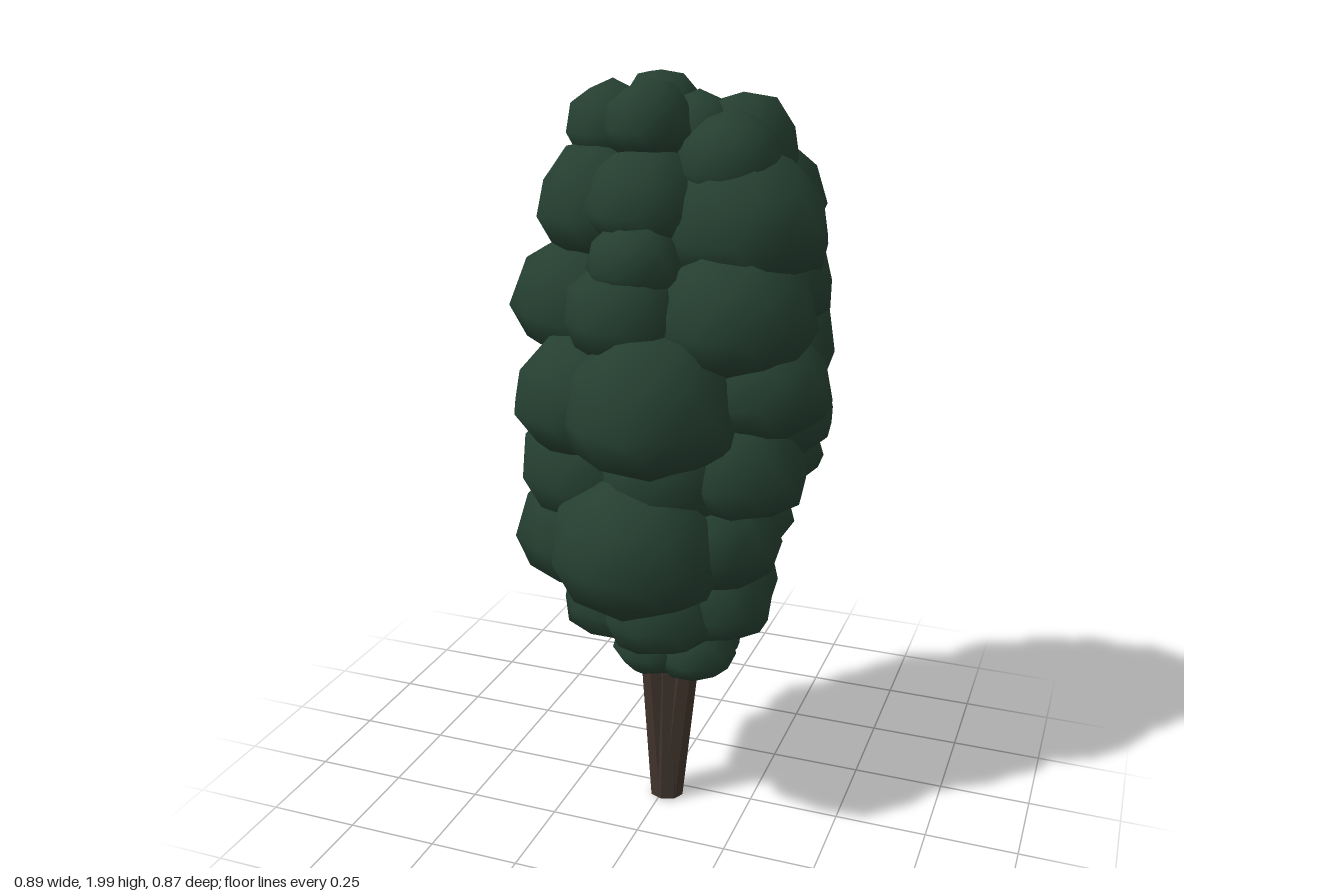
import * as THREE from 'three';
import { mergeVertices } from 'three/addons/utils/BufferGeometryUtils.js';

const leafMaterial = new THREE.MeshStandardMaterial({ color: 0x253f31, roughness: 1 });
const barkMaterial = new THREE.MeshStandardMaterial({ color: 0x40342c, roughness: 1, flatShading: true });

// Leaf clumps, bottom to top: each is [x, y, z, radius]
const tiers = {
  lowestTier: [[-0.02, 0.475, 0.06, 0.105], [0.1, 0.475, 0.06, 0.105], [-0.02, 0.48, -0.03, 0.105], [0.09, 0.48, -0.04, 0.105]],
  skirtTier: [[-0.1, 0.62, 0.08, 0.16], [0.03, 0.62, 0.13, 0.16], [0.15, 0.64, 0.05, 0.16],
    [-0.08, 0.64, -0.05, 0.17], [0.12, 0.65, -0.07, 0.17]],
  lowerTier: [[-0.01, 0.81, 0.2, 0.225], [-0.18, 0.8, 0.08, 0.2], [0.15, 0.82, 0.07, 0.18],
    [-0.14, 0.82, -0.09, 0.2], [0.11, 0.83, -0.12, 0.2], [0.02, 0.76, -0.09, 0.18]],
  middleTier: [[0.21, 1.01, 0.05, 0.18], [0.2, 1.02, -0.13, 0.18], [0.03, 1.02, -0.18, 0.2],
    [-0.18, 1.02, -0.08, 0.19], [-0.17, 0.98, 0.07, 0.2], [0.03, 1.0, 0.12, 0.18]],
  broadTier: [[0.02, 1.18, 0.18, 0.22], [-0.17, 1.17, 0.1, 0.2], [0.25, 1.22, 0.01, 0.18], [0.21, 1.14, -0.1, 0.21],
    [0.17, 1.27, -0.21, 0.22], [-0.03, 1.27, -0.19, 0.2], [-0.2, 1.23, -0.09, 0.19]],
  upperTier: [[-0.24, 1.39, -0.05, 0.2], [0.19, 1.4, 0.05, 0.2], [-0.06, 1.41, 0.12, 0.16],
    [0.14, 1.53, -0.23, 0.2], [-0.09, 1.5, -0.18, 0.19], [0.21, 1.47, -0.11, 0.19]],
  shoulderTier: [[0.19, 1.61, -0.05, 0.21], [-0.04, 1.54, 0.12, 0.12], [-0.19, 1.64, -0.06, 0.18],
    [-0.05, 1.67, 0.03, 0.15], [0.16, 1.66, -0.21, 0.18], [-0.06, 1.66, -0.18, 0.17]],
  crownTier: [[-0.19, 1.84, -0.11, 0.12], [-0.06, 1.86, -0.03, 0.115], [-0.08, 1.88, -0.17, 0.11],
    [0.14, 1.79, -0.17, 0.15], [0.15, 1.77, -0.05, 0.135], [0.04, 1.83, -0.12, 0.11]],
};

// Low-poly clump: upright dome with a ten-sided rim over a flattened underside
function clumpGeometry(radius, seed) {
  let geo = new THREE.IcosahedronGeometry(1, 1);
  geo.deleteAttribute('normal');
  geo.deleteAttribute('uv');
  geo = mergeVertices(geo);
  geo.rotateX(-Math.atan((1 + Math.sqrt(5)) / 2)); // corner to the top
  geo.rotateY(seed * 1.7);
  const p = geo.attributes.position;
  for (let i = 0; i < p.count; i++) {
    const lump = 1.01 + 0.05 * Math.sin(i * 2.4 + seed * 5.1);
    const y = p.getY(i);
    p.setXYZ(i, p.getX(i) * lump * 1.02, (y < 0 ? y * 0.68 : y * 1.05) * lump, p.getZ(i) * lump * 1.02);
  }
  geo.scale(radius, radius, radius);
  geo.computeVertexNormals();
  return geo;
}

// Tapered stem running between two points
function stem(name, from, to, rBottom, rTop) {
  const a = new THREE.Vector3(...from), b = new THREE.Vector3(...to);
  const dir = b.clone().sub(a);
  const mesh = new THREE.Mesh(new THREE.CylinderGeometry(rTop, rBottom, dir.length(), 8), barkMaterial);
  mesh.name = name;
  mesh.position.copy(a).add(b).multiplyScalar(0.5);
  mesh.quaternion.setFromUnitVectors(new THREE.Vector3(0, 1, 0), dir.normalize());
  return mesh;
}

export function createModel() {
  const tree = new THREE.Group();
  tree.name = 'tree';

  // Trunk: stems that share a foot and spread slightly upward
  const trunk = new THREE.Group();
  trunk.name = 'trunk';
  trunk.add(
    stem('mainStem', [0.012, 0.002, 0.045], [0.012, 0.6, 0.015], 0.048, 0.05),
    stem('leftStem', [0.018, 0.004, 0.045], [0.072, 0.6, 0.01], 0.042, 0.042),
    stem('rightStem', [0.004, 0.003, 0.046], [-0.035, 0.6, 0.045], 0.04, 0.04),
  );
  tree.add(trunk);

  // Foliage tiers
  const foliage = new THREE.Group();
  foliage.name = 'foliage';
  let seed = 0;
  for (const [name, clumps] of Object.entries(tiers)) {
    const tier = new THREE.Group();
    tier.name = name;
    for (const [x, y, z, r] of clumps) {
      const clump = new THREE.Mesh(clumpGeometry(r, ++seed), leafMaterial);
      clump.name = 'leafClump';
      clump.position.set(x, y, z);
      tier.add(clump);
    }
    foliage.add(tier);
  }
  tree.add(foliage);
  return tree;
}
